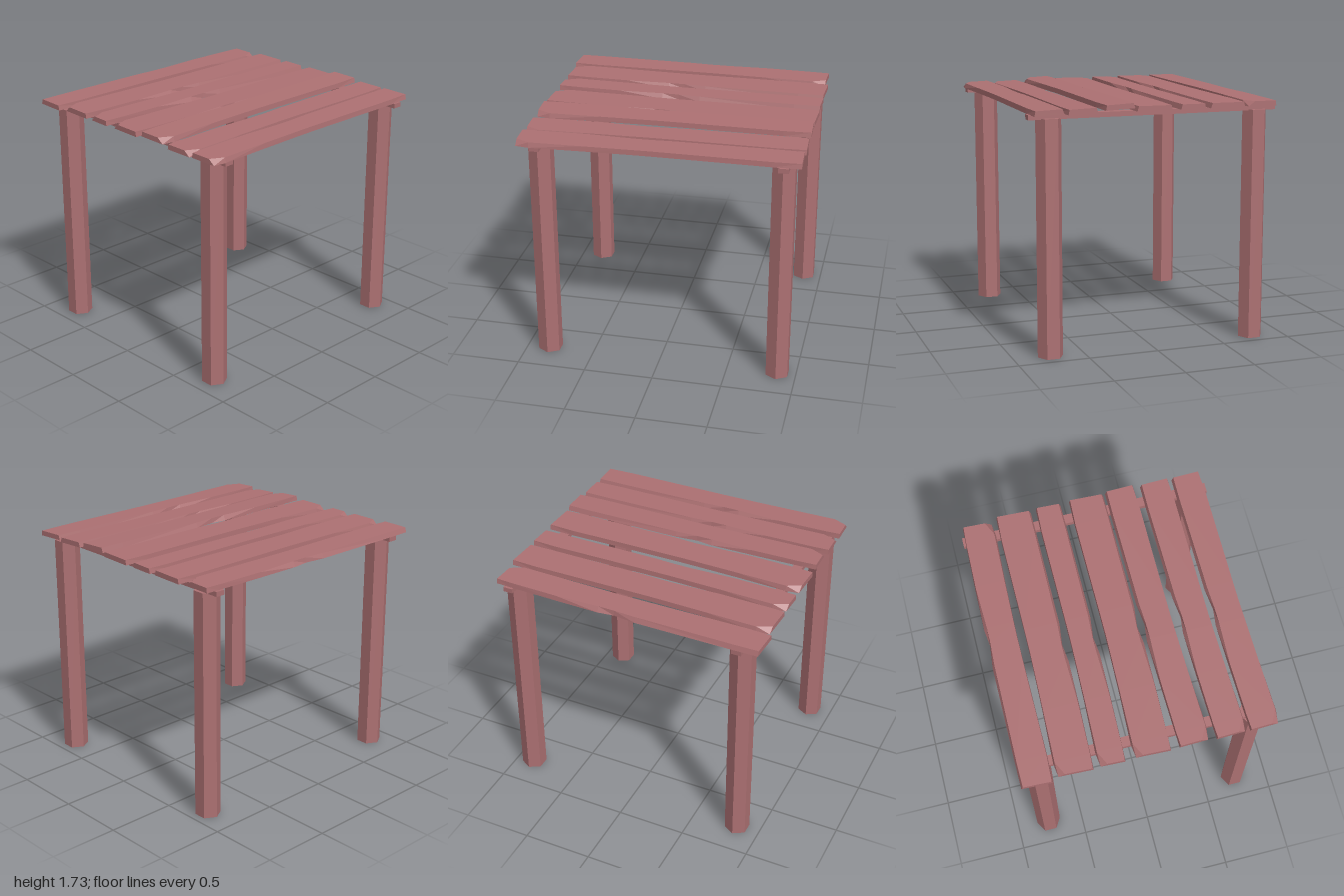
import * as THREE from 'three';

const wood = new THREE.MeshStandardMaterial({ color: 0xac7072, flatShading: true });

// Worn plank outline, back to front:
// [z, left edge shift, right edge shift, left top inset, right top inset]
const WEAR = [
  [-0.99, 0, 0, 0.008, 0.012],
  [-0.8, -0.004, 0.002, 0.004, 0.012],
  [-0.1, 0, 0, 0.003, 0.016],
  [0.06, 0, -0.018, 0.003, 0.006],
  [0.18, -0.002, -0.003, 0.003, 0.022],
  [0.5, -0.01, -0.008, 0.004, 0.006],
  [0.87, -0.025, -0.018, 0.01, 0.004],
  [0.97, -0.012, -0.022, 0.045, 0.006],
];
const THICK = 0.036;

// Plank lofted through four-cornered rings; mirror swaps sides, turn spins it half round
function plankGeometry({ l, r, mirror, turn, front, back, roll = 0 }) {
  const cx = (l + r) / 2, half = (r - l) / 2;
  const sx = (mirror ? -1 : 1) * (turn ? -1 : 1), sz = turn ? -1 : 1;
  const pos = [], index = [];
  for (const [z0, dl, dr, tl, tr] of WEAR) {
    const xl = -half + dl, xr = half + dr;
    const corners = [[xl, 0], [xr, 0], [xr - tr, THICK], [xl + tl, THICK]];
    for (const [x0, h] of corners) {
      const x = x0 * sx;
      const slant = Math.abs(z0) > 0.9 ? 0.04 * x0 : 0;
      const z = (z0 + slant) * sz;
      const y = THREE.MathUtils.lerp(back, front, (z + 1) / 2) + h + roll * x;
      pos.push(cx + x, y, z);
    }
  }
  const tri = (a, b, c) => index.push(...(sx * sz < 0 ? [a, c, b] : [a, b, c]));
  const quad = (a, b, c, d) => { tri(a, b, c); tri(a, c, d); };
  const last = (WEAR.length - 1) * 4;
  for (let i = 0; i < last; i += 4) {
    for (let k = 0; k < 4; k++) {
      const n = (k + 1) % 4;
      quad(i + k, i + n, i + 4 + n, i + 4 + k);
    }
  }
  quad(3, 2, 1, 0);
  quad(last, last + 1, last + 2, last + 3);
  const g = new THREE.BufferGeometry();
  g.setAttribute('position', new THREE.Float32BufferAttribute(pos, 3));
  g.setIndex(index);
  g.computeVertexNormals();
  return g;
}

export function createModel() {
  const group = new THREE.Group();
  const add = (name, geometry, x = 0, y = 0, z = 0) => {
    const mesh = new THREE.Mesh(geometry, wood);
    mesh.name = name;
    mesh.position.set(x, y, z);
    group.add(mesh);
    return mesh;
  };

  // Four six-sided posts, corners pointing sideways
  const legH = 1.645;
  const legGeo = new THREE.CylinderGeometry(0.09, 0.09, legH, 6).rotateY(Math.PI / 6);
  for (const [side, x] of [['Right', -0.76], ['Left', 0.74]]) {
    add('front' + side + 'Leg', legGeo, x, legH / 2, 0.83);
    add('back' + side + 'Leg', legGeo, x, legH / 2, -0.865);
  }

  // Cross beams resting on the posts
  const beamGeo = new THREE.BoxGeometry(1.79, 0.034, 0.07);
  add('frontBeam', beamGeo, -0.005, 1.655, 0.835);
  add('backBeam', beamGeo, -0.005, 1.655, -0.875);

  // Seven uneven roof planks
  const planks = [
    { l: -0.9, r: -0.685, turn: true, front: 1.672, back: 1.672 },
    { l: -0.63, r: -0.38, front: 1.674, back: 1.674 },
    { l: -0.34, r: -0.16, front: 1.674, back: 1.674 },
    { l: -0.095, r: 0.155, front: 1.674, back: 1.674 },
    { l: 0.17, r: 0.38, mirror: true, front: 1.69, back: 1.694, roll: -0.04 },
    { l: 0.43, r: 0.64, mirror: true, front: 1.667, back: 1.674, roll: -0.03 },
    { l: 0.665, r: 0.872, mirror: true, front: 1.67, back: 1.674, roll: -0.03 },
  ];
  planks.forEach((p, i) => add('roofPlank' + (i + 1), plankGeometry(p)));
  return group;
}
